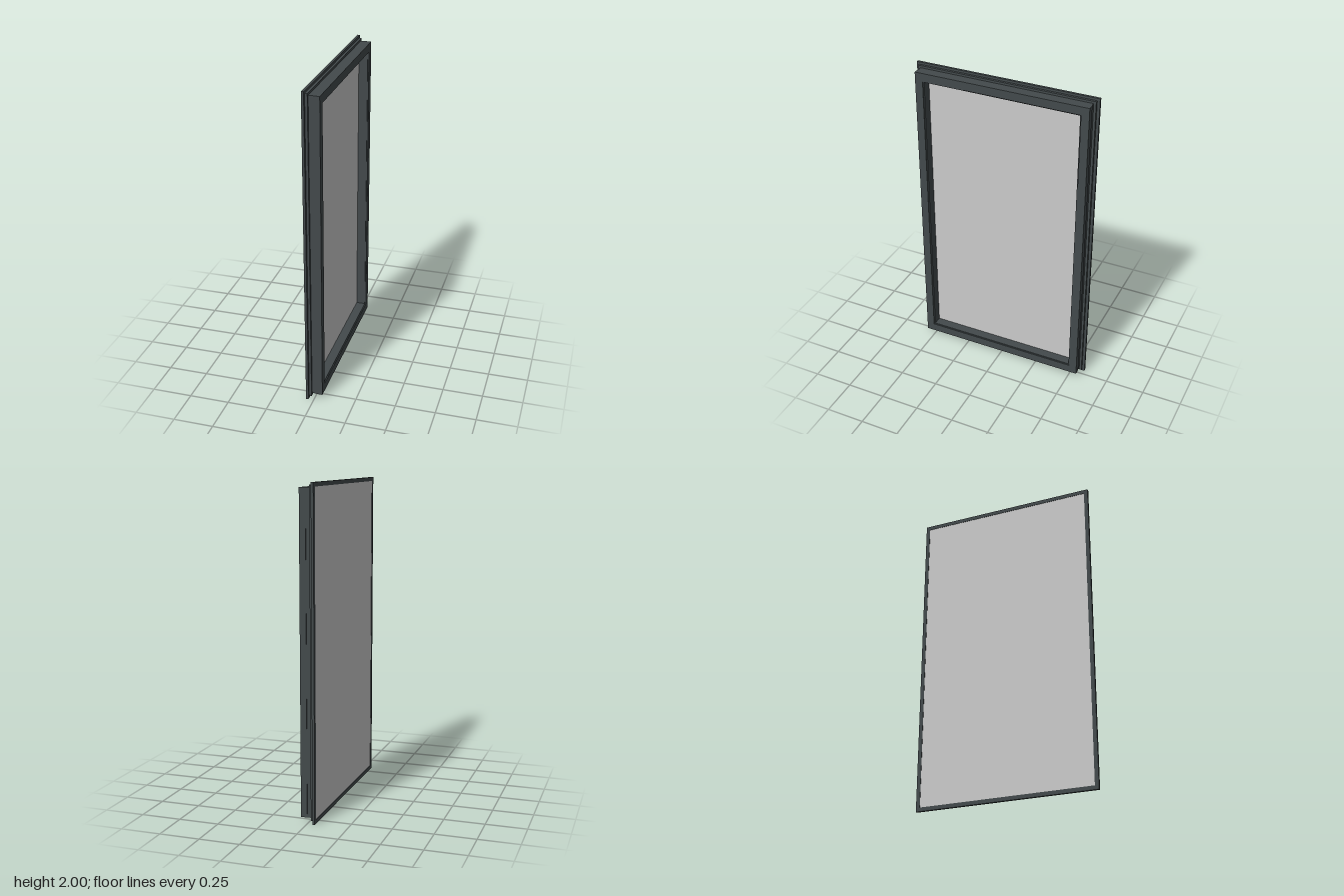
import * as THREE from 'three';

const frameMaterial = new THREE.MeshStandardMaterial({ color: 0x434a4c });
const glassMaterial = new THREE.MeshStandardMaterial({ color: 0xc0c0c0 });
const HALF_Z = 0.582, HEIGHT = 2;

// Insets from the overall outline: [sides, top and bottom]
const OUTLINE = [0, 0];
const REBATE = [0.025, 0.025];
const STEP = [0.017, 0.015];
const NECK = [0.032, 0.029];
const BODY = [0.029, 0.029];
const LIP = [0.079, 0.082];
const OPENING = [0.086, 0.088];

// Adds an upright rectangle, inset from the overall outline, to a path
function rectangle(path, [side, end]) {
  const w = HALF_Z - side, y1 = HEIGHT - end;
  path.moveTo(-w, end);
  path.lineTo(w, end);
  path.lineTo(w, y1);
  path.lineTo(-w, y1);
  path.closePath();
  return path;
}

// Rectangular ring between two insets, running from x0 to x1
function ring(name, outer, inner, x0, x1) {
  const shape = rectangle(new THREE.Shape(), outer);
  shape.holes.push(rectangle(new THREE.Path(), inner));
  const geometry = new THREE.ExtrudeGeometry(shape, { depth: x1 - x0, bevelEnabled: false });
  geometry.rotateY(Math.PI / 2).translate(x0, 0, 0);
  const mesh = new THREE.Mesh(geometry, frameMaterial);
  mesh.name = name;
  return mesh;
}

// Sheet of glass filling an inset, running from x0 to x1
function pane(name, [side, end], x0, x1) {
  const geometry = new THREE.BoxGeometry(x1 - x0, HEIGHT - 2 * end, 2 * (HALF_Z - side));
  const mesh = new THREE.Mesh(geometry, glassMaterial);
  mesh.name = name;
  mesh.position.set((x0 + x1) / 2, HEIGHT / 2, 0);
  return mesh;
}

export function createModel() {
  const model = new THREE.Group();
  model.name = 'window';

  // Stepped frame, from the outer flange to the deep inner body
  const frame = new THREE.Group();
  frame.name = 'frame';
  frame.add(
    ring('outerFlange', OUTLINE, REBATE, -0.0485, -0.033),
    ring('middleStep', STEP, OPENING, -0.033, -0.018),
    ring('frameNeck', NECK, OPENING, -0.018, 0.009),
    ring('frameBody', BODY, LIP, 0.009, 0.0485),
    ring('glazingBead', LIP, OPENING, 0.009, 0.042),
  );
  model.add(frame);

  // Double glazing: a wide sheet in the flange and one inside the opening
  const glazing = new THREE.Group();
  glazing.name = 'glazing';
  glazing.add(
    pane('outerPane', REBATE, -0.046, -0.033),
    pane('innerPane', OPENING, -0.033, -0.016),
  );
  model.add(glazing);

  return model;
}
